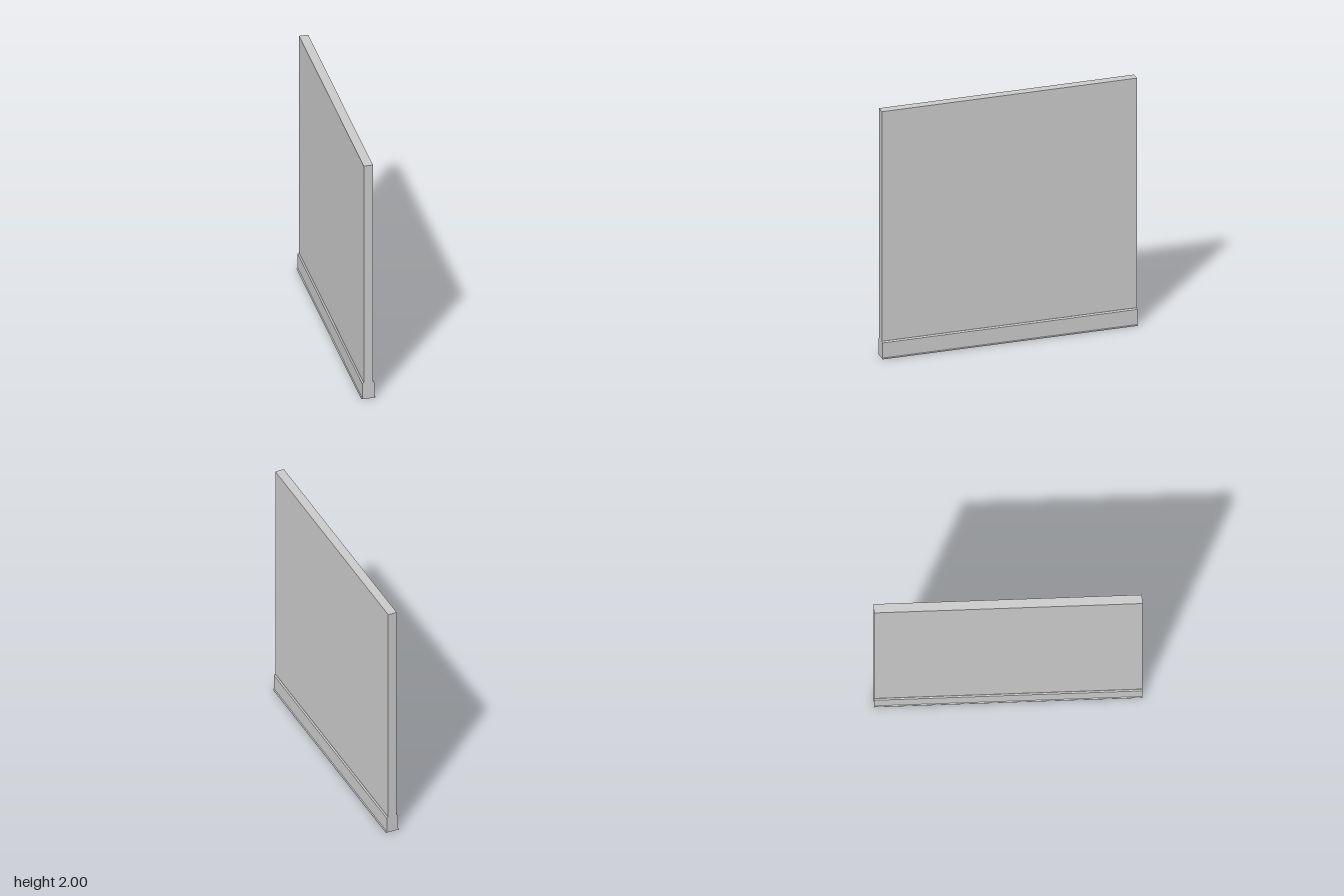
import * as THREE from 'three';

const LENGTH = 2;

// Extrudes a cross-section, given as its +x half from bottom to top, along z.
function mirroredProfile(name, half, material) {
  const left = half.map(([x, y]) => new THREE.Vector2(x, y));
  const right = half.map(([x, y]) => new THREE.Vector2(-x, y)).reverse();
  const geometry = new THREE.ExtrudeGeometry(new THREE.Shape([...left, ...right]), {
    depth: LENGTH, bevelEnabled: false,
  });
  geometry.translate(0, 0, -LENGTH / 2);
  const mesh = new THREE.Mesh(geometry, material);
  mesh.name = name;
  return mesh;
}

export function createModel() {
  const group = new THREE.Group();
  group.name = 'wallSection';
  const material = new THREE.MeshStandardMaterial({ color: 0xcccccc, flatShading: true });

  // Plain wall slab, standing on the skirting
  const baseTop = 0.14;
  const panel = new THREE.Mesh(new THREE.BoxGeometry(0.07, 2 - baseTop, LENGTH), material);
  panel.name = 'wallPanel';
  panel.position.y = (2 + baseTop) / 2;
  group.add(panel);

  // Skirting on both faces, with a chamfered top edge
  group.add(mirroredProfile('skirting',
    [[0.046, 0.008], [0.046, 0.13], [0.037, baseTop]], material));

  // Thin flared strip along the floor
  group.add(mirroredProfile('floorStrip',
    [[0.054, 0], [0.054, 0.004], [0.046, 0.008]], material));

  return group;
}
